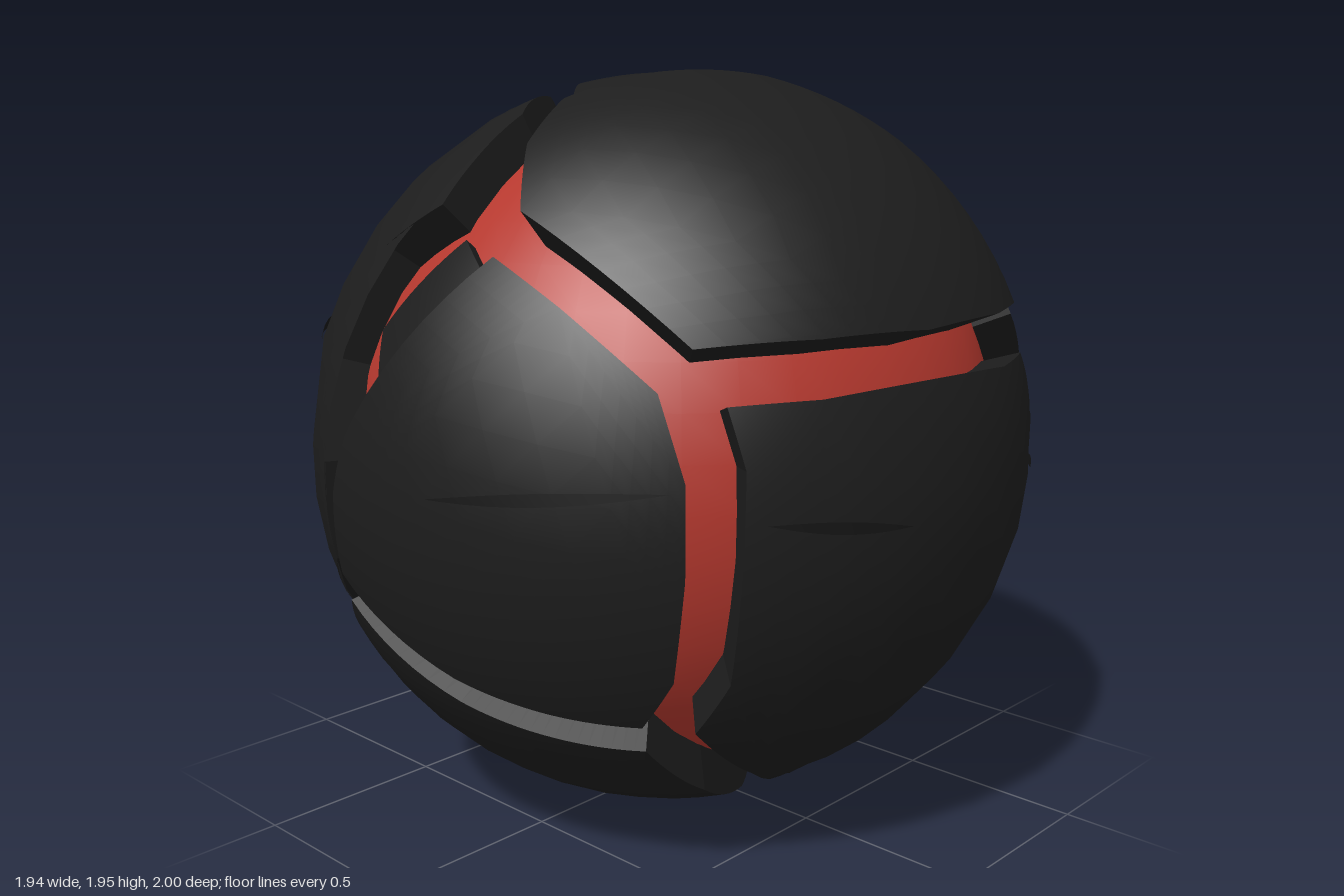
import * as THREE from 'three';

const V = (p) => new THREE.Vector3(...p);
const CORE = 0.87, SHELL = 0.97, ROOT = 0.8;

// Crack junctions, as directions from the centre of the ball
const top = [0, 0.87, 0.42], topLeft = [-0.05, 0.86, 0.41], brow = [0.18, 0.61, 0.74], chin = [-0.25, -0.23, 0.8];
const cheek = [0.49, -0.5, 0.55], temple = [0.59, 0.29, 0.59], side = [0.76, 0.32, -0.42];
const rear = [-0.61, 0.54, -0.48], base = [-0.2, -0.72, -0.5];

// Bends of each crack between two junctions; uneven cracks have one list per bank
const topBrowLeft = [[-0.03, 0.74, 0.58]];
const topBrowRight = [[0.05, 0.74, 0.58]];
const browTemple = [[0.4, 0.48, 0.7]];
const browChinLeft = [[-0.02, 0.64, 0.73], [-0.19, 0.54, 0.8], [-0.29, 0.28, 0.88], [-0.25, 0.03, 0.93]];
const browChinRight = [[-0.18, 0.15, 0.94], [-0.24, 0, 0.93]];
const chinCheek = [[0.1, -0.42, 0.76], [0.3, -0.47, 0.67]];
const templeCheek = [[0.65, 0.1, 0.57], [0.65, -0.1, 0.57], [0.59, -0.34, 0.54]];
const templeSide = [[0.74, 0.3, 0.36], [0.82, 0.3, 0.1], [0.82, 0.31, -0.2]];
const topSide = [[0.09, 0.84, 0.2], [0.23, 0.83, -0.05], [0.45, 0.69, -0.28]];
const topRear = [[-0.25, 0.83, 0.1], [-0.45, 0.73, -0.15]];
const rearBaseUpper = [[-0.35, 0.62, -0.62], [-0.13, 0.51, -0.79], [0, 0.22, -0.9], [-0.01, -0.25, -0.86]];
const rearBaseLower = [[-0.35, 0.59, -0.64], [-0.19, 0.48, -0.8], [-0.08, 0.2, -0.9], [-0.06, -0.25, -0.86]];
const rearBaseOuter = [[-0.71, 0.2, -0.48], [-0.65, -0.3, -0.53], [-0.45, -0.58, -0.48]];
const sideBase = [[0.62, 0.07, -0.6], [0.38, -0.3, -0.75], [0.08, -0.56, -0.67]];
const cheekBase = [[0.45, -0.68, 0.3], [0.34, -0.83, 0.03], [0.1, -0.84, -0.29]];
const chinBase = [[-0.42, -0.42, 0.65], [-0.58, -0.55, 0.35], [-0.55, -0.68, 0], [-0.42, -0.75, -0.25]];
const back = (list) => [...list].reverse();

const plates = [
  { name: 'leftPlate', lift: 0, inset: 0.05,
    loop: [topLeft, ...topBrowLeft, ...browChinLeft, chin, ...chinBase, base, ...back(rearBaseOuter), rear, ...back(topRear)] },
  { name: 'bottomPlate', lift: 0.015, inset: 0.05,
    loop: [chin, ...chinCheek, cheek, ...cheekBase, base, ...back(chinBase)] },
  { name: 'frontPlate', lift: 0.03, inset: 0.05,
    loop: [brow, ...browTemple, temple, ...templeCheek, cheek, ...back(chinCheek), chin, ...back(browChinRight)] },
  { name: 'rightPlate', lift: 0, inset: 0.075,
    loop: [temple, ...templeSide, side, ...sideBase, base, ...back(cheekBase), cheek, ...back(templeCheek)] },
  { name: 'upperRightPlate', lift: 0.04, inset: 0.035,
    loop: [top, ...topBrowRight, brow, ...browTemple, temple, ...templeSide, side, ...back(topSide)] },
  { name: 'upperBackPlate', lift: 0, inset: 0.055,
    loop: [top, ...topRear, rear, ...rearBaseUpper, base, ...back(sideBase), side, ...back(topSide)] },
  { name: 'backPlate', lift: 0.045, inset: 0.035,
    loop: [rear, ...rearBaseLower, base, ...back(rearBaseOuter)] },
  { name: 'islandPlate', lift: -0.07, inset: 0,
    loop: [[-0.19, 0.36, 0.81], [-0.01, 0.57, 0.71], [0.08, 0.51, 0.74], [-0.13, 0.2, 0.87]] },
];

const middle = (a, b) => a.clone().add(b).normalize();

// Pull every corner of a spherical polygon inward by half a crack width
function insetLoop(loop, width) {
  return loop.map((p, i) => {
    const before = loop[(i + loop.length - 1) % loop.length], after = loop[(i + 1) % loop.length];
    const n1 = p.clone().cross(p.clone().sub(before)).normalize();
    const n2 = p.clone().cross(after.clone().sub(p)).normalize();
    const scale = width / Math.max(0.15, 1 + n1.dot(n2));
    return p.clone().addScaledVector(n1.add(n2), scale).normalize();
  });
}

// A curved slab of shell: smooth outside and flat walls down into the core
function plateGeometry({ loop, lift, inset }) {
  let dirs = loop.map((p) => V(p).normalize());
  const centre = dirs.reduce((s, p) => s.add(p), new THREE.Vector3()).normalize();
  const turn = dirs.reduce((s, p, i) => s.add(p.clone().cross(dirs[(i + 1) % dirs.length])), new THREE.Vector3());
  if (turn.dot(centre) < 0) dirs.reverse();
  dirs = insetLoop(dirs, inset);

  const shift = centre.clone().multiplyScalar(lift);
  const position = [], normal = [];
  const at = (d, r) => d.clone().multiplyScalar(r).add(shift);
  const push = (p, n) => { position.push(p.x, p.y, p.z); normal.push(n.x, n.y, n.z); };

  // Unroll around the centre, triangulate, then subdivide on the sphere
  const e1 = new THREE.Vector3(0.3, 1, 0.2).cross(centre).normalize();
  const e2 = centre.clone().cross(e1);
  const flat = dirs.map((d) => {
    const v = new THREE.Vector2(d.dot(e1), d.dot(e2));
    return v.setLength(d.angleTo(centre));
  });
  const cap = (a, b, c, depth) => {
    if (depth === 0) {
      const facing = b.clone().sub(a).cross(c.clone().sub(a)).dot(a);
      (facing > 0 ? [a, b, c] : [a, c, b]).forEach((d) => push(at(d, SHELL), d));
      return;
    }
    const ab = middle(a, b), bc = middle(b, c), ca = middle(c, a);
    [[a, ab, ca], [ab, b, bc], [ca, bc, c], [ab, bc, ca]].forEach((t) => cap(...t, depth - 1));
  };
  THREE.ShapeUtils.triangulateShape(flat, []).forEach(([i, j, k]) => cap(dirs[i], dirs[j], dirs[k], 3));

  const wall = (a, b, depth) => {
    if (depth > 0) {
      const m = middle(a, b);
      wall(a, m, depth - 1);
      wall(m, b, depth - 1);
      return;
    }
    const a0 = at(a, ROOT), b0 = at(b, ROOT), a1 = at(a, SHELL), b1 = at(b, SHELL);
    const n = b0.clone().sub(a0).cross(b1.clone().sub(a0)).normalize();
    [a0, b0, b1, a0, b1, a1].forEach((p) => push(p, n));
  };
  dirs.forEach((d, i) => wall(d, dirs[(i + 1) % dirs.length], 3));

  const g = new THREE.BufferGeometry();
  g.setAttribute('position', new THREE.Float32BufferAttribute(position, 3));
  g.setAttribute('normal', new THREE.Float32BufferAttribute(normal, 3));
  return g;
}

// A thin pointed scratch lying along the shell
function scratchGeometry(from, to, radius, width) {
  const a = V(from).normalize(), b = V(to).normalize();
  const across = a.clone().cross(b).normalize();
  const steps = 10, position = [], index = [];
  for (let i = 0; i <= steps; i++) {
    const t = i / steps;
    const mid = a.clone().lerp(b, t).normalize();
    for (const s of [-1, 1]) {
      const p = mid.clone().addScaledVector(across, s * width * Math.sin(Math.PI * t)).setLength(radius);
      position.push(p.x, p.y, p.z);
    }
    if (i < steps) index.push(2 * i, 2 * i + 2, 2 * i + 1, 2 * i + 1, 2 * i + 2, 2 * i + 3);
  }
  const g = new THREE.BufferGeometry();
  g.setAttribute('position', new THREE.Float32BufferAttribute(position, 3));
  g.setIndex(index);
  g.computeVertexNormals();
  return g;
}

export function createModel() {
  const shell = new THREE.MeshStandardMaterial({ name: 'charcoal shell', color: 0x1d1d1d });
  const glow = new THREE.MeshStandardMaterial({ name: 'red core', color: 0xb5382e });
  const groove = new THREE.MeshStandardMaterial({ name: 'dark scratch', color: 0x161616, side: THREE.DoubleSide });

  const model = new THREE.Group();
  model.name = 'crackedBall';
  const ball = new THREE.Group();
  ball.name = 'ball';
  ball.position.y = 0.98;
  model.add(ball);

  const add = (name, geometry, material) => {
    const mesh = new THREE.Mesh(geometry, material);
    mesh.name = name;
    ball.add(mesh);
  };

  add('core', new THREE.SphereGeometry(CORE, 40, 24), glow);
  plates.forEach((p) => add(p.name, plateGeometry(p), shell));

  // Scratches on the plates
  [
    [[-0.87, 0.29, 0.3], [-0.47, 0.3, 0.8], 0.973, 0.02],
    [[0.17, 0.03, 0.95], [0.66, 0.08, 0.7], 1.003, 0.015],
    [[0.78, 0, 0.53], [0.92, -0.04, 0.2], 0.973, 0.015],
    [[0.8, -0.03, -0.42], [0.72, -0.05, -0.62], 0.973, 0.015],
    [[-0.3, 0.02, -0.9], [-0.62, 0, -0.66], 1.012, 0.015],
    [[-0.8, 0, -0.5], [-0.92, -0.02, -0.2], 0.973, 0.02],
  ].forEach((s) => add('scratch', scratchGeometry(...s), groove));

  return model;
}
